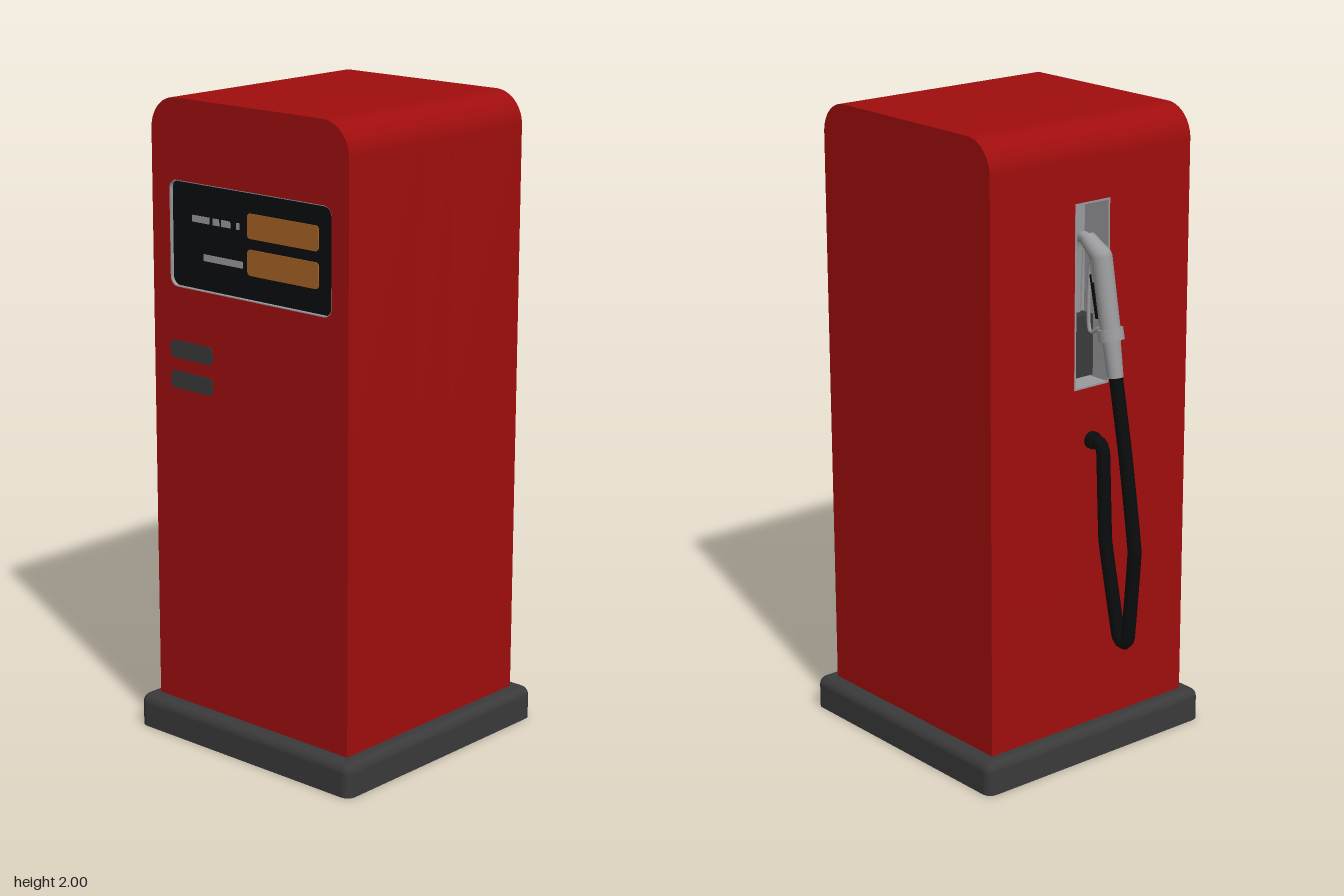
import * as THREE from 'three';
import { toCreasedNormals } from 'three/addons/utils/BufferGeometryUtils.js';
import { RoundedBoxGeometry } from 'three/addons/geometries/RoundedBoxGeometry.js';

const material = (name, color, side = THREE.FrontSide) => {
  const m = new THREE.MeshStandardMaterial({ color, side });
  m.name = name;
  return m;
};

export function createModel() {
  const red = material('red paint', 0xa00d0d);
  const charcoal = material('charcoal', 0x3a3a3a);
  const black = material('black', 0x0b0c0d);
  const grey = material('grey metal', 0x9b9b9d);
  const orange = material('orange display', 0xa86425);

  const model = new THREE.Group();
  model.name = 'fuelPump';
  const add = (name, geometry, mat, x = 0, y = 0, z = 0, parent = model) => {
    const mesh = new THREE.Mesh(geometry, mat);
    mesh.name = name;
    mesh.position.set(x, y, z);
    parent.add(mesh);
    return mesh;
  };

  // Rounded rectangle, drawn into a Shape or a Path
  const roundRect = (s, x0, y0, x1, y1, r) => {
    s.moveTo(x0 + r, y0);
    s.lineTo(x1 - r, y0);
    s.absarc(x1 - r, y0 + r, r, -Math.PI / 2, 0);
    s.lineTo(x1, y1 - r);
    s.absarc(x1 - r, y1 - r, r, 0, Math.PI / 2);
    s.lineTo(x0 + r, y1);
    s.absarc(x0 + r, y1 - r, r, Math.PI / 2, Math.PI);
    s.lineTo(x0, y0 + r);
    s.absarc(x0 + r, y0 + r, r, Math.PI, Math.PI * 1.5);
    return s;
  };
  const extrude = (shape, depth) => toCreasedNormals(
    new THREE.ExtrudeGeometry(shape, { depth, bevelEnabled: false, curveSegments: 8 }), 0.5);
  const plate = (x0, y0, x1, y1, r, depth) =>
    extrude(roundRect(new THREE.Shape(), x0, y0, x1, y1, r), depth);

  // Base: rounded on top, cut flat at the ground
  const baseGeo = new RoundedBoxGeometry(0.88, 0.165, 0.88, 4, 0.03);
  baseGeo.translate(0.085, 0.0225, 0);
  const p = baseGeo.attributes.position;
  for (let i = 0; i < p.count; i++) p.setY(i, Math.max(0, p.getY(i)));
  add('base', baseGeo, charcoal);

  // Cabinet in slices: the middle one is notched for the nozzle, the front one is cut for the panel
  const L = -0.31, R = 0.475, r = 0.1;
  const nook = { y0: 1.2, y1: 1.77, x: -0.2, z: 0.068 };
  const profile = (notched) => {
    const s = new THREE.Shape();
    s.moveTo(L, 0.09);
    s.lineTo(R, 0.09);
    s.lineTo(R, 2 - r);
    s.absarc(R - r, 2 - r, r, 0, Math.PI / 2);
    s.lineTo(L + r, 2);
    s.absarc(L + r, 2 - r, r, Math.PI / 2, Math.PI);
    if (notched) {
      s.lineTo(L, nook.y1);
      s.lineTo(nook.x, nook.y1);
      s.lineTo(nook.x, nook.y0);
      s.lineTo(L, nook.y0);
    }
    s.lineTo(L, 0.09);
    return s;
  };
  const slice = (name, z0, z1, shape) => add(name, extrude(shape, z1 - z0), red, 0, 0, z0);
  const frontShape = profile(false);
  frontShape.holes.push(roundRect(new THREE.Path(), -0.24, 1.43, 0.41, 1.755, 0.03));
  slice('cabinetBack', -0.39, -nook.z, profile(false));
  slice('cabinetMiddle', -nook.z, nook.z, profile(true));
  slice('cabinetFront', nook.z, 0.374, profile(false));
  slice('cabinetFace', 0.374, 0.39, frontShape);

  // Nozzle recess lining
  const t = 0.006, ny = (nook.y0 + nook.y1) / 2, nh = nook.y1 - nook.y0;
  const nx = (L + nook.x) / 2, nw = nook.x - L;
  add('recessBack', new THREE.BoxGeometry(t, nh, 2 * nook.z), grey, nook.x - t / 2, ny, 0);
  for (const s of [-1, 1]) {
    add('recessSide', new THREE.BoxGeometry(nw + 0.002, nh, t), grey, nx, ny, s * (nook.z - t / 2));
    add('recessEnd', new THREE.BoxGeometry(nw + 0.002, t, 2 * nook.z), grey, nx, ny + s * (nh - t) / 2, 0);
  }
  add('nozzleRest', new THREE.BoxGeometry(0.05, 0.19, 0.11), charcoal, -0.23, 1.31, 0);

  // Display panel sunk in the front
  const rim = roundRect(new THREE.Shape(), -0.241, 1.429, 0.411, 1.756, 0.031);
  rim.holes.push(roundRect(new THREE.Path(), -0.237, 1.433, 0.407, 1.752, 0.027));
  add('panelRim', extrude(rim, 0.014), grey, 0, 0, 0.374);
  add('panel', plate(-0.24, 1.43, 0.41, 1.755, 0.03, 0.003), black, 0, 0, 0.374);
  for (const [y0, y1] of [[1.615, 1.69], [1.505, 1.583]])
    add('display', plate(0.07, y0, 0.35, y1, 0.012, 0.003), orange, 0, 0, 0.377);
  for (const [x0, x1, y] of [[-0.155, -0.085, 1.645], [-0.07, -0.045, 1.645], [-0.035, 0, 1.645],
    [0.025, 0.038, 1.645], [-0.11, 0.05, 1.532]])
    add('labelStrip', new THREE.BoxGeometry(x1 - x0, 0.02, 0.003), grey, (x0 + x1) / 2, y, 0.378);

  // Vents
  for (const y of [1.21, 1.115])
    add('vent', plate(-0.24, y, -0.065, y + 0.055, 0.016, 0.003), charcoal, 0, 0, 0.389);

  // Hose: hangs in a kinked loop beside the cabinet
  const vec = ([x, y]) => new THREE.Vector3(x, y, 0);
  const tube = (name, pts, radius, mat, n, tension, parent) => add(name, new THREE.TubeGeometry(
    new THREE.CatmullRomCurve3(pts.map(vec), false, 'catmullrom', tension), n, radius, 8), mat, 0, 0, 0, parent);
  tube('hose', [[-0.414, 1.28], [-0.465, 1.02], [-0.51, 0.73], [-0.487, 0.45], [-0.478, 0.426], [-0.465, 0.42],
    [-0.45, 0.428], [-0.44, 0.45], [-0.38, 0.73], [-0.367, 1.0], [-0.36, 1.025], [-0.345, 1.034], [-0.29, 1.034]],
  0.021, black, 110, 0.12);
  add('hoseSocket', new THREE.CylinderGeometry(0.027, 0.027, 0.03, 12), black, -0.315, 1.034, 0).rotation.z = Math.PI / 2;

  // Nozzle
  const nozzle = new THREE.Group();
  nozzle.name = 'nozzle';
  model.add(nozzle);
  const rod = (name, a, b, ra, rb, mat = grey) => {
    const va = vec(a), vb = vec(b), d = vb.clone().sub(va);
    const m = add(name, new THREE.CylinderGeometry(rb, ra, d.length(), 16), mat, 0, 0, 0, nozzle);
    m.position.copy(va).add(vb).multiplyScalar(0.5);
    m.quaternion.setFromUnitVectors(new THREE.Vector3(0, 1, 0), d.normalize());
  };
  rod('sleeve', [-0.417, 1.255], [-0.396, 1.37], 0.024, 0.028);
  rod('collar', [-0.399, 1.365], [-0.391, 1.4], 0.039, 0.039);
  rod('handle', [-0.393, 1.39], [-0.351, 1.61], 0.031, 0.032);
  add('elbow', new THREE.SphereGeometry(0.032, 16, 12), grey, -0.351, 1.61, 0, nozzle);
  rod('neck', [-0.351, 1.61], [-0.29, 1.652], 0.032, 0.025);
  tube('spout', [[-0.3, 1.646], [-0.265, 1.655], [-0.245, 1.62], [-0.235, 1.42]], 0.018, grey, 20, 0.4, nozzle);
  tube('triggerGuard', [[-0.385, 1.385], [-0.345, 1.39], [-0.305, 1.37], [-0.295, 1.42], [-0.3, 1.56], [-0.32, 1.62]],
    0.006, grey, 30, 0.4, nozzle);
  rod('triggerMount', [-0.33, 1.53], [-0.318, 1.61], 0.014, 0.016);
  rod('trigger', [-0.342, 1.42], [-0.318, 1.55], 0.011, 0.014, black);

  return model;
}
